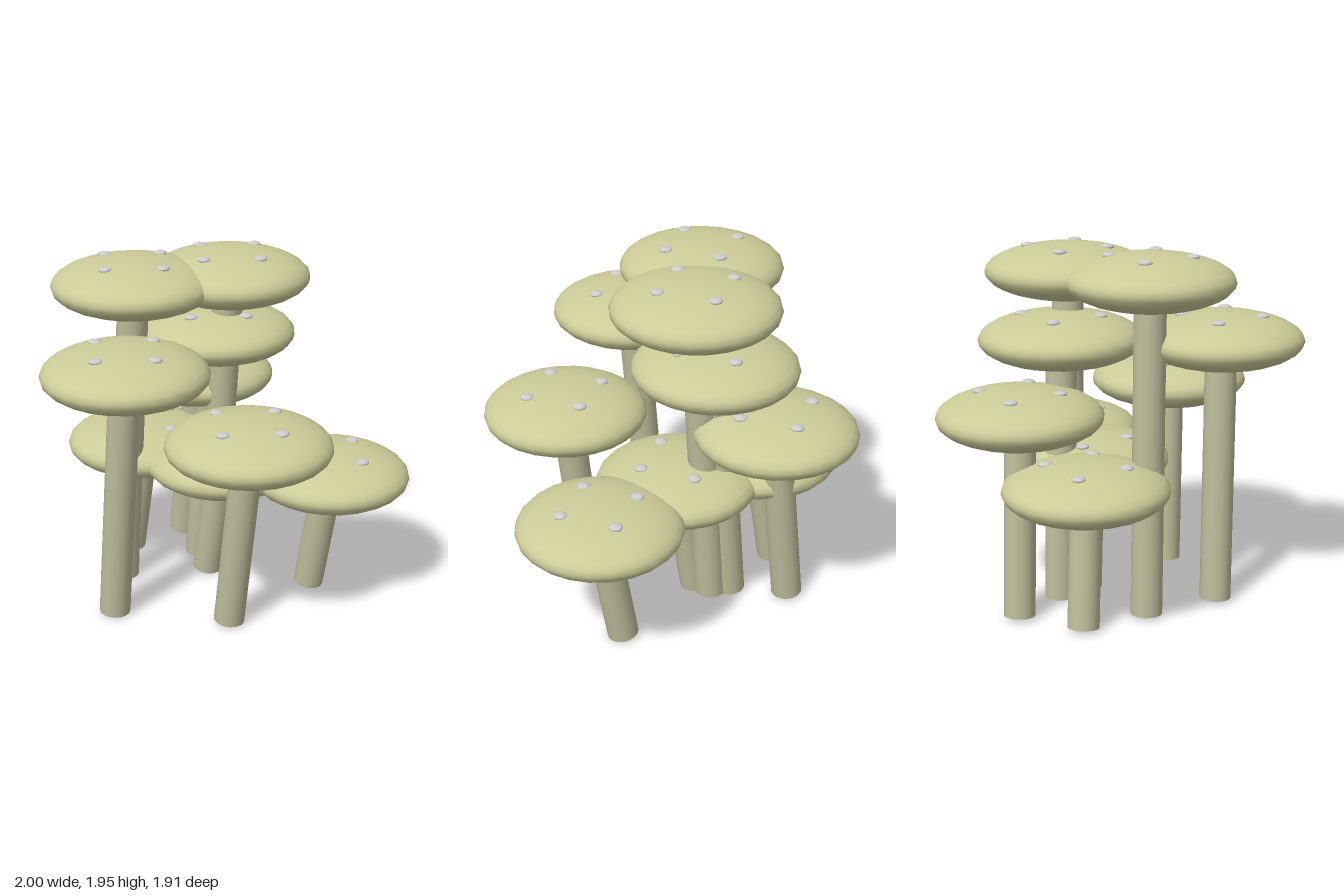
import * as THREE from 'three';

const CAP_R = 0.444, CAP_H = 0.148, STEM_R = 0.086, LEAN = 0.12, SPOT_RING = 0.215;

// cap centres: x, y, z
const CAPS = [
  [-0.33, 1.8, 0.16], [-0.06, 1.8, -0.32],
  [-0.07, 1.45, 0.51], [-0.17, 1.45, -0.34],
  [-0.45, 1.09, -0.51], [0.48, 1.09, 0.17],
  [0.552, 0.735, -0.47], [-0.556, 0.735, -0.145], [-0.01, 0.735, -0.22],
];

function material(name, color) {
  const m = new THREE.MeshStandardMaterial({ color });
  m.name = name;
  return m;
}

export function createModel() {
  const capMat = material('cap olive', 0xcccc99);
  const stemMat = material('stem grey olive', 0xbbbb99);
  const spotMat = material('spot pale grey', 0xcccccc);

  // shared flattened spheres
  const capGeo = new THREE.SphereGeometry(1, 24, 16).scale(CAP_R, CAP_H, CAP_R);
  const spotGeo = new THREE.SphereGeometry(1, 12, 8).scale(0.037, 0.015, 0.037);
  const spotY = CAP_H * Math.sqrt(1 - (SPOT_RING / CAP_R) ** 2);

  const model = new THREE.Group();
  model.name = 'mushroomCluster';

  for (const [x, y, z] of CAPS) {
    const mushroom = new THREE.Group();
    mushroom.name = 'mushroom';
    mushroom.position.set(x, y, z);

    const cap = new THREE.Mesh(capGeo, capMat);
    cap.name = 'cap';
    mushroom.add(cap);

    // stem leans sideways and ends at the cap centre
    const foot = new THREE.Vector3(-LEAN, 0.012 - y, 0);
    const stem = new THREE.Mesh(new THREE.CylinderGeometry(STEM_R, STEM_R, foot.length(), 16), stemMat);
    stem.name = 'stem';
    stem.position.copy(foot).multiplyScalar(0.5);
    stem.quaternion.setFromUnitVectors(new THREE.Vector3(0, 1, 0), foot.clone().negate().normalize());
    mushroom.add(stem);

    // four spots around the crown
    for (let i = 0; i < 4; i++) {
      const a = i * Math.PI / 2;
      const spot = new THREE.Mesh(spotGeo, spotMat);
      spot.name = 'spot';
      spot.position.set(Math.cos(a) * SPOT_RING, spotY, Math.sin(a) * SPOT_RING);
      mushroom.add(spot);
    }
    model.add(mushroom);
  }
  return model;
}
